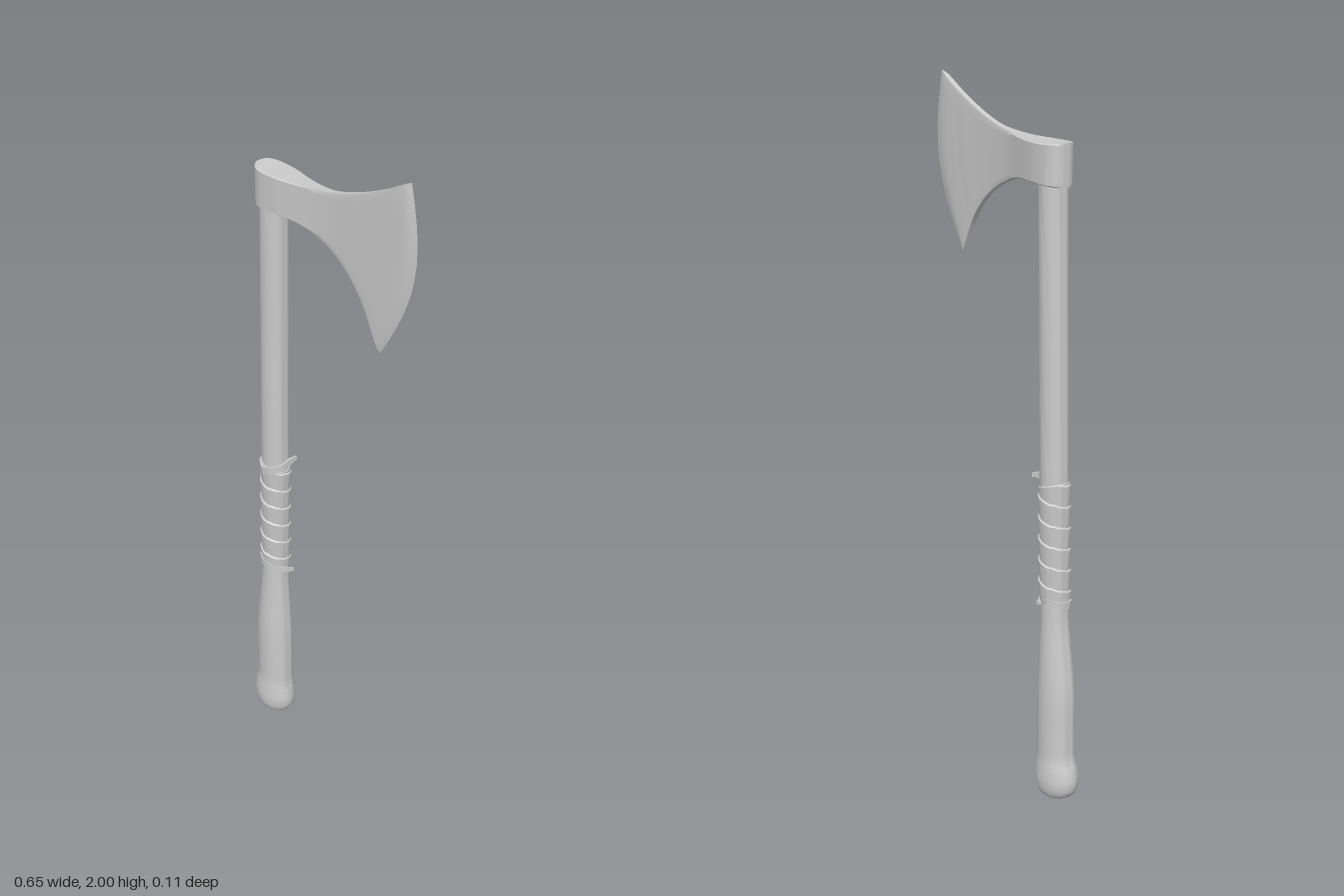
import * as THREE from 'three';
import { toCreasedNormals } from 'three/addons/utils/BufferGeometryUtils.js';

const material = new THREE.MeshStandardMaterial({ color: 0xcccccc, roughness: 0.7 });
const TAU = Math.PI * 2;
const V = (x, y, z) => new THREE.Vector3(x, y, z);
const curve = (pts) => new THREE.CatmullRomCurve3(pts.map((p) => V(...p)), false, 'centripetal');

// Skin a list of closed rings, optionally capping both ends
function loft(name, rings, caps = true, crease = 0.7) {
  const n = rings[0].length;
  const pos = rings.flat().flatMap((p) => [p.x, p.y, p.z]);
  const index = [];
  for (let i = 0; i < rings.length - 1; i++) {
    for (let j = 0; j < n; j++) {
      const k = (j + 1) % n;
      const a = i * n + j, b = i * n + k, c = b + n, d = a + n;
      index.push(a, d, c, a, c, b);
    }
  }
  if (caps) {
    const addCap = (ring, start, flip) => {
      const mid = ring.reduce((s, p) => s.add(p), V(0, 0, 0)).divideScalar(n);
      const m = pos.length / 3;
      pos.push(mid.x, mid.y, mid.z);
      for (let j = 0; j < n; j++) {
        const a = start + j, b = start + (j + 1) % n;
        index.push(m, flip ? b : a, flip ? a : b);
      }
    };
    addCap(rings[0], 0, false);
    addCap(rings.at(-1), (rings.length - 1) * n, true);
  }
  const geo = new THREE.BufferGeometry();
  geo.setAttribute('position', new THREE.Float32BufferAttribute(pos, 3));
  geo.setIndex(index);
  const mesh = new THREE.Mesh(toCreasedNormals(geo, crease), material);
  mesh.name = name;
  return mesh;
}

// Oval shaft: depth follows width, but less strongly
const depthOf = (rx) => 0.015 + 0.53 * rx;
const shaftX = (y) => -0.2325 + (y - 0.6) * 0.0215;
const onShaft = (y, angle, extra) => V(
  shaftX(y) + Math.cos(angle) * (0.043 + extra), y, Math.sin(angle) * (0.038 + extra));

function buildHandle() {
  // centre x, height, half width
  const profile = curve([
    [-0.245, 0.004, 0.035], [-0.247, 0.012, 0.054], [-0.249, 0.03, 0.068], [-0.25, 0.06, 0.074],
    [-0.249, 0.095, 0.07], [-0.246, 0.13, 0.063], [-0.244, 0.2, 0.062], [-0.243, 0.34, 0.061],
    [-0.238, 0.46, 0.051], [-0.2345, 0.54, 0.0445], [-0.2325, 0.6, 0.043], [shaftX(1), 1, 0.043],
    [shaftX(1.4), 1.4, 0.0425], [shaftX(1.84), 1.84, 0.042],
  ]);
  const rings = profile.getPoints(78).map(({ x, y, z: rx }) =>
    Array.from({ length: 32 }, (_, j) => {
      const t = j / 32 * TAU;
      return V(x + Math.cos(t) * rx, y, Math.sin(t) * depthOf(rx));
    }));
  return loft('handle', rings);
}

// Grip sleeve with slanting, overlapping turns
function buildGrip() {
  const rings = [], steps = 90;
  for (let i = 0; i <= steps; i++) {
    const ring = [];
    for (let j = 0; j < 40; j++) {
      const t = j / 40 * TAU;
      const y = 0.605 + 0.35 * i / steps - 0.014 * Math.cos(t);
      const turn = y / 0.062 - t / TAU;
      const lap = 0.0045 * (turn - Math.floor(turn));
      const end = i === 0 || i === steps ? -0.004 : 0.0015;
      ring.push(onShaft(y, t, end + (end > 0 ? lap : 0)));
    }
    rings.push(ring);
  }
  return loft('gripWrap', rings, false);
}

// Flat strap wound part way round the shaft, with a tip lifting away
function buildStrap(name, from, to, y0, y1, width, lift) {
  const rings = [], steps = 30;
  for (let i = 0; i <= steps; i++) {
    const f = i / steps;
    const t = from + (to - from) * f;
    const y = y0 + (y1 - y0) * f;
    const out = 0.006 + lift * Math.max(0, (f - 0.75) * 4) ** 2;
    const w = width * (f > 0.85 ? 1 - (f - 0.85) * 3 : 1) / 2;
    const outer = onShaft(y, t, out), inner = onShaft(y, t, out - 0.006);
    const shift = (p, dy) => p.clone().setY(p.y + dy);
    rings.push([shift(outer, -w), shift(outer, w), shift(inner, w), shift(inner, -w)]);
  }
  return loft(name, rings);
}

function buildHead() {
  // x, y and half thickness along the upper and lower outlines
  const top = [
    [-0.262, 1.877, 0], [-0.257, 1.877, 0.02], [-0.242, 1.876, 0.034], [-0.215, 1.874, 0.042],
    [-0.16, 1.873, 0.04], [-0.1, 1.873, 0.029], [-0.04, 1.877, 0.017], [0.03, 1.886, 0.01],
    [0.11, 1.91, 0.009], [0.2, 1.948, 0.009], [0.275, 1.988, 0.008], [0.3, 2, 0],
  ];
  const low = [
    [-0.262, 1.765], [-0.257, 1.765], [-0.242, 1.766], [-0.215, 1.767], [-0.16, 1.768],
    [-0.1, 1.766], [-0.04, 1.753], [0.03, 1.725], [0.095, 1.678], [0.15, 1.61],
    [0.192, 1.525], [0.205, 1.5],
  ];
  const upper = new THREE.CatmullRomCurve3(top.map((p) => V(...p)), false, 'catmullrom', 0.5);
  const lower = new THREE.CatmullRomCurve3(low.map((p) => V(...p, 0)), false, 'catmullrom', 0.5);
  const heights = [0, 0.03, 0.1, 0.2, 0.3, 0.4, 0.5, 0.6, 0.7, 0.8, 0.9, 0.97, 1];
  const rings = [], steps = 66;
  for (let i = 0; i <= steps; i++) {
    const u = i / steps;
    const a = upper.getPoint(u), b = lower.getPoint(u);
    const half = Math.max(0, a.z);
    const bulge = 0.066 * Math.max(0, (u - 0.5) * 2) ** 2;
    const zMid = 0.004 * THREE.MathUtils.smoothstep(a.x, -0.2, 0.1);
    const side = (s) => heights.map((v) => V(
      b.x + (a.x - b.x) * v + bulge * Math.sin(Math.PI * v),
      b.y + (a.y - b.y) * v,
      zMid + s * half * (v === 0 || v === 1 ? 0.88 : 1)));
    rings.push([...side(1), ...side(-1).reverse()]);
  }
  return loft('axeHead', rings, false, 0.5);
}

export function createModel() {
  const model = new THREE.Group();
  model.name = 'axe';
  model.add(
    buildHandle(),
    buildGrip(),
    buildStrap('lowerStrap', Math.PI + 1.2, -0.25, 0.618, 0.582, 0.022, 0.018),
    buildStrap('upperStrap', 1.8, -0.7, 0.935, 0.972, 0.022, 0.016),
    buildHead(),
  );
  return model;
}
